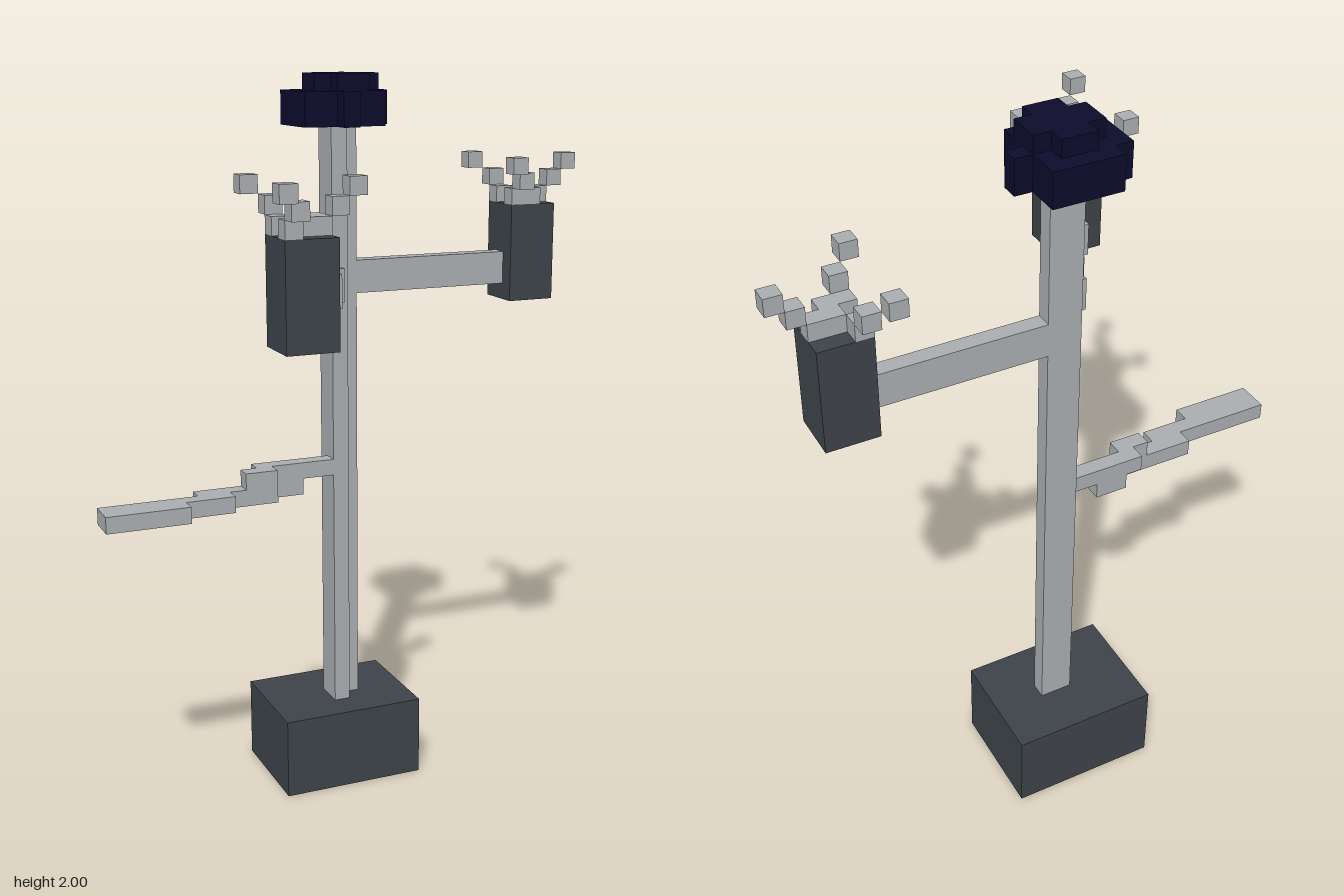
import * as THREE from 'three';

const V = 2 / 44; // one voxel

const steel = new THREE.MeshStandardMaterial({ color: 0xa9adb0 });
steel.name = 'light steel';
const iron = new THREE.MeshStandardMaterial({ color: 0x3d4349 });
iron.name = 'dark iron';
const navy = new THREE.MeshStandardMaterial({ color: 0x0c0c2c });
navy.name = 'dark navy';

// Each block is [x, y, z, width, height, depth] in voxels; sizes default to 1.
function part(parent, name, material, blocks) {
  const group = new THREE.Group();
  group.name = name;
  for (const [x, y, z, w = 1, h = 1, d = 1] of blocks) {
    const mesh = new THREE.Mesh(new THREE.BoxGeometry(w * V, h * V, d * V), material);
    mesh.name = name + 'Block';
    mesh.position.set((x + w / 2 - 16) * V, (y + h / 2) * V, (z + d / 2 - 9) * V);
    group.add(mesh);
  }
  parent.add(group);
  return group;
}

// Holder with three spreading prongs; x, z is its back left corner.
function addHolder(parent, side, x, z, extra) {
  part(parent, side + 'Holder', iron, [[x, 30, z, 3, 6, 3]]);
  const prongs = [
    [x + 1, 36, z + 1, 2, 1, 1], [x + 3, 37, z + 1], [x + 4, 38, z + 1],
    [x + extra[0], 36, z + extra[1]],
  ];
  for (const s of [-1, 1]) {
    for (const [dx, dy, dz] of [[0, 0, 1], [0, 1, 2], [-1, 2, 3]]) {
      prongs.push([x + dx, 36 + dy, z + 1 + s * dz]);
    }
  }
  part(parent, side + 'Prongs', steel, prongs);
}

export function createModel() {
  const model = new THREE.Group();
  model.name = 'voxelStand';

  part(model, 'base', iron, [[11, 0, 0, 9, 5, 7]]);

  // Post with a notch along its front left corner
  part(model, 'post', steel, [[15, 5, 3, 2, 36, 1], [15, 5, 4, 1, 36, 1]]);

  // Rounded cap
  part(model, 'cap', navy, [
    [13, 41, 2, 5, 2, 4], [14, 41, 1, 4, 2, 1], [18, 41, 3, 1, 2, 1], [15, 41, 6, 1, 2, 1],
    [14, 43, 3, 4, 1, 2], [15, 43, 2, 2, 1, 4],
  ]);

  // Straight left arm and stepped right arm
  part(model, 'leftArm', steel, [[17, 31, 3, 10, 2, 1]]);
  part(model, 'rightArm', steel, [
    [14, 5, 2], [13, 6, 3], [12, 8, 2], [11, 10, 2], [10, 11, 2],
  ].map(([x, z, d]) => [x, 31, z, 1, 2, d]));

  addHolder(model, 'left', 27, 2, [1, 2]);
  addHolder(model, 'right', 8, 13, [2, 0]);

  // Low side branch
  part(model, 'lowBranch', steel, [
    [10, 20, 4, 5, 1, 1], [9, 20, 5, 2, 1, 1],
    [11, 19, 4, 2, 1, 1], [6, 19, 5, 5, 1, 1],
    [5, 19, 6, 3, 1, 1], [0, 19, 6, 5, 1, 2],
  ]);

  return model;
}
